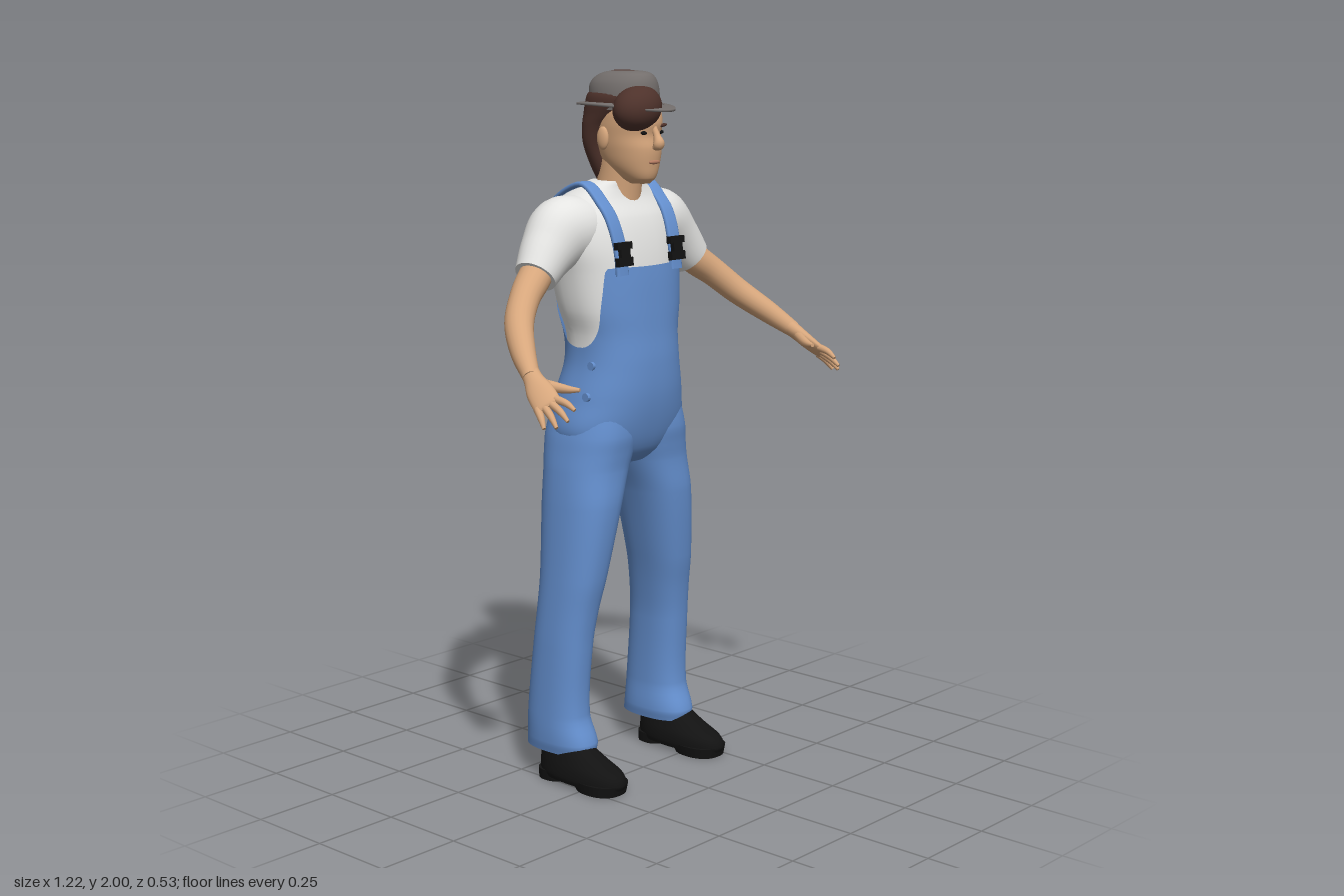
import * as THREE from 'three';

const mat = (name, color, side = THREE.FrontSide) => {
  const m = new THREE.MeshStandardMaterial({ color, side });
  m.name = name;
  return m;
};

// Smooth lookup in rows [key, a, b, ...] with ascending keys
function at(rows, k) {
  const last = rows.length - 1;
  k = Math.min(Math.max(k, rows[0][0]), rows[last][0]);
  let i = 0;
  while (i < last - 1 && k > rows[i + 1][0]) i++;
  const p = rows[i], q = rows[i + 1], h = q[0] - p[0], t = (k - p[0]) / h;
  const slope = (j, c) => {
    const a = rows[Math.max(j - 1, 0)], b = rows[Math.min(j + 1, last)];
    return (b[c] - a[c]) / (b[0] - a[0]);
  };
  return p.map((v, c) => c === 0 ? k
    : (2 * t ** 3 - 3 * t * t + 1) * v + (t ** 3 - 2 * t * t + t) * h * slope(i, c)
    + (3 * t * t - 2 * t ** 3) * q[c] + (t ** 3 - t * t) * h * slope(i + 1, c));
}

// Skin closed rings of points, with optional end caps
function skin(rings, caps = true) {
  const n = rings[0].length, pos = rings.flat(2), idx = [];
  for (let i = 0; i < rings.length - 1; i++) for (let j = 0; j < n; j++) {
    const a = i * n + j, d = i * n + (j + 1) % n;
    idx.push(a, a + n, d + n, a, d + n, d);
  }
  if (caps) [rings[0], rings[rings.length - 1]].forEach((r, top) => {
    const s = pos.length / 3;
    pos.push(...r.flat(), ...[0, 1, 2].map(c => r.reduce((t, p) => t + p[c] / n, 0)));
    for (let j = 0; j < n; j++) {
      const k = (j + 1) % n;
      idx.push(s + n, s + (top ? k : j), s + (top ? j : k));
    }
  });
  const g = new THREE.BufferGeometry();
  g.setAttribute('position', new THREE.Float32BufferAttribute(pos, 3));
  g.setIndex(idx);
  g.computeVertexNormals();
  return g;
}

const pw = (v, p) => Math.sign(v) * Math.abs(v) ** p;
const P = 0.85;

// Point on a horizontal section [y, xMin, xMax, zBack, zFront]
function onSection([y, x0, x1, z0, z1], a, p = P, grow = 0) {
  return [(x0 + x1) / 2 + ((x1 - x0) / 2 + grow) * pw(Math.cos(a), p), y,
    (z0 + z1) / 2 + ((z1 - z0) / 2 + grow) * pw(Math.sin(a), p)];
}
const circle = (n, f) => Array.from({ length: n }, (_, j) => f(j / n * Math.PI * 2));

// Upright shape through horizontal sections
function stack(rows, { n = 40, steps = 5, p = P } = {}) {
  const rings = [];
  for (let i = 0; i < rows.length - 1; i++) for (let s = 0; s < steps; s++)
    rings.push(rows[i][0] + (rows[i + 1][0] - rows[i][0]) * s / steps);
  rings.push(rows[rows.length - 1][0]);
  return skin(rings.map(y => circle(n, a => onSection(at(rows, y), a, p))));
}
const sym = rows => rows.map(([y, h, zb, zf]) => [y, -h, h, zb, zf]);

// Limb through points [x, y, z, radiusAlongRef, otherRadius]
function limb(pts, ref = [0, 0, 1], { n = 20, steps = 6, p = 1 } = {}) {
  const rows = pts.map((q, i) => [i, ...q]), m = (pts.length - 1) * steps, rings = [];
  const centre = k => new THREE.Vector3(...at(rows, k).slice(1, 4));
  for (let i = 0; i <= m; i++) {
    const k = i / steps, c = centre(k), [, , , , ra, rb] = at(rows, k);
    const t = centre(k + 0.05).sub(centre(k - 0.05)).normalize();
    const u = new THREE.Vector3(...ref);
    u.addScaledVector(t, -u.dot(t)).normalize();
    const v = u.clone().cross(t);
    rings.push(circle(n, a => c.clone().addScaledVector(u, ra * pw(Math.cos(a), p))
      .addScaledVector(v, rb * pw(Math.sin(a), p)).toArray()));
  }
  return skin(rings);
}

function mirrored(geo) {
  const g = geo.clone().scale(-1, 1, 1), ix = g.index.array;
  for (let i = 0; i < ix.length; i += 3) [ix[i], ix[i + 1]] = [ix[i + 1], ix[i]];
  g.computeVertexNormals();
  return g;
}
const blob = (x, y, z, rx, ry, rz, tilt = 0) =>
  new THREE.SphereGeometry(1, 28, 18).scale(rx, ry, rz).rotateZ(tilt).translate(x, y, z);
const block = (x, y, z, w, h, d) => new THREE.BoxGeometry(w, h, d).rotateX(-0.12).translate(x, y, z);

// Trunk sections from crotch to collar
const BODY = sym([[0.91, 0.06, -0.17, -0.03], [0.94, 0.15, -0.21, 0], [1.0, 0.203, -0.232, 0.025],
  [1.1, 0.188, -0.235, 0.045], [1.2, 0.165, -0.21, 0.048], [1.28, 0.165, -0.212, 0.042],
  [1.35, 0.183, -0.23, 0.038], [1.45, 0.197, -0.25, 0.03], [1.53, 0.21, -0.253, 0.017],
  [1.6, 0.2, -0.243, -0.005], [1.65, 0.165, -0.222, -0.035], [1.68, 0.118, -0.19, -0.045],
  [1.7, 0.08, -0.16, -0.045]]);

// Height of the overalls' upper edge, by degrees from the front
const EDGE = [[0, 1.47], [40, 1.47], [45, 1.46], [52, 1.39], [62, 1.31], [80, 1.255], [100, 1.25],
  [120, 1.28], [140, 1.35], [155, 1.43], [165, 1.51], [171, 1.55], [180, 1.55]];

function bodyZ(x, y, side) {
  const [, , h, zb, zf] = at(BODY, y);
  return (zb + zf) / 2 + side * ((zf - zb) / 2 + 0.011) * Math.max(0, 1 - (x / h) ** (2 / P)) ** (P / 2);
}

export function createModel() {
  const model = new THREE.Group();
  model.name = 'workman';
  const skinM = mat('skin', 0xd6a67c), shirt = mat('shirt white', 0xe4e4e2, THREE.DoubleSide);
  const denim = mat('denim blue', 0x648fce, THREE.DoubleSide), black = mat('black', 0x121212);
  const felt = mat('hat grey', 0x736e6c, THREE.DoubleSide), hairM = mat('hair brown', 0x4e322b);
  const lip = mat('lip', 0xb57c62);
  const add = (name, geo, m) => {
    const mesh = new THREE.Mesh(geo, m);
    mesh.name = name;
    model.add(mesh);
  };
  const pair = (name, geo, m) => {
    add(name + 'Left', geo, m);
    add(name + 'Right', mirrored(geo), m);
  };

  // Shirt
  add('shirtBody', stack(BODY.filter(r => r[0] > 1.05), { n: 48 }), shirt);
  pair('sleeve', limb([[0.07, 1.56, -0.12, 0.08, 0.08], [0.14, 1.572, -0.122, 0.092, 0.09],
    [0.2, 1.56, -0.125, 0.09, 0.1], [0.26, 1.515, -0.118, 0.074, 0.08],
    [0.318, 1.456, -0.105, 0.058, 0.06]], [0, 0, 1], { n: 28 }), shirt);

  // Overalls: seat, bib and back panel in one shell, then the legs
  const ROWS = 36;
  const shell = Array.from({ length: ROWS + 1 }, (_, i) => circle(120, a => {
    const fromFront = Math.abs(((a * 180 / Math.PI - 90 + 540) % 360) - 180);
    const y = 0.91 + (at(EDGE, fromFront)[1] - 0.91) * i / ROWS;
    return onSection(at(BODY, y), a, P, 0.007);
  }));
  add('overallsBody', skin(shell, false), denim);
  pair('trouserLeg', stack([[0.09, 0.14, 0.27, -0.245, -0.015], [0.12, 0.136, 0.275, -0.24, -0.01],
    [0.2, 0.143, 0.274, -0.235, -0.038], [0.4, 0.138, 0.268, -0.215, -0.03],
    [0.5, 0.125, 0.262, -0.207, -0.018], [0.6, 0.105, 0.255, -0.205, 0], [0.8, 0.056, 0.24, -0.22, 0.02],
    [0.9, 0.018, 0.229, -0.228, 0.017], [0.95, 0, 0.221, -0.236, 0.022], [1.0, -0.01, 0.212, -0.239, 0.028],
    [1.08, -0.01, 0.19, -0.225, 0.02]]), denim);

  // Straps, buckles and hip buttons
  const strap = [[0.11, 1.45, 1], [0.111, 1.52, 1], [0.115, 1.59, 1], [0.118, 1.64, 1], [0.118, 1.684, 0],
    [0.107, 1.65, -1], [0.085, 1.6, -1], [0.055, 1.55, -1], [0.025, 1.49, -1]]
    .map(([x, y, s]) => [x, s ? y : y + 0.01, s ? bodyZ(x, y, s) : -0.11, 0.023, 0.007]);
  pair('strap', limb(strap, [1, 0, 0], { n: 16, p: 0.5 }), denim);
  const bz = bodyZ(0.108, 1.51, 1) + 0.008;
  pair('buckleTop', block(0.108, 1.532, bz - 0.002, 0.058, 0.02, 0.016), black);
  pair('buckleMiddle', block(0.108, 1.512, bz, 0.036, 0.03, 0.018), black);
  pair('buckleBottom', block(0.108, 1.488, bz + 0.003, 0.056, 0.024, 0.016), black);
  for (const [y, x] of [[1.2, 0.168], [1.115, 0.189]])
    pair('hipButton', new THREE.CylinderGeometry(0.012, 0.012, 0.01, 16).rotateZ(Math.PI / 2)
      .translate(x, y, -0.04), denim);

  // Shoes
  pair('shoe', stack([[0.015, 0.15, 0.275, -0.186, 0.11], [0.03, 0.146, 0.279, -0.19, 0.115],
    [0.055, 0.148, 0.276, -0.19, 0.1], [0.08, 0.156, 0.269, -0.188, 0.045],
    [0.11, 0.165, 0.262, -0.185, -0.01], [0.14, 0.17, 0.258, -0.18, -0.03]], { p: 0.9 }), black);
  pair('sole', stack([[0, 0.152, 0.274, -0.04, 0.105], [0.03, 0.147, 0.278, -0.06, 0.112]]), black);
  pair('heel', stack([[0, 0.16, 0.265, -0.188, -0.09], [0.03, 0.157, 0.268, -0.189, -0.08]]), black);

  // Arms and hands
  pair('arm', limb([[0.27, 1.5, -0.115, 0.045, 0.045], [0.33, 1.45, -0.1, 0.047, 0.045],
    [0.39, 1.405, -0.075, 0.042, 0.041], [0.45, 1.348, -0.035, 0.04, 0.038],
    [0.505, 1.288, 0.035, 0.034, 0.032], [0.545, 1.235, 0.105, 0.023, 0.023]]), skinM);
  const across = [0.06, -0.045, -0.055];
  pair('palm', limb([[0.535, 1.248, 0.088, 0.024, 0.023], [0.546, 1.228, 0.115, 0.027, 0.021],
    [0.556, 1.205, 0.145, 0.036, 0.018], [0.568, 1.178, 0.184, 0.037, 0.013],
    [0.571, 1.171, 0.194, 0.03, 0.007]], across), skinM);
  const tips = [[0.543, 1.168, 0.258], [0.566, 1.142, 0.256], [0.589, 1.126, 0.238], [0.603, 1.122, 0.207]];
  tips.forEach((tip, i) => {
    const base = [0.568, 1.178, 0.182].map((c, k) => c + across[k] * (i - 1.5) * 0.19);
    const mid = base.map((c, k) => c + (tip[k] - c) * 0.55 + (k === 1 ? 0.005 : 0));
    pair('finger', limb([[...base, 0.011, 0.011], [...mid, 0.0095, 0.0095], [...tip, 0.005, 0.005]],
      across, { n: 10, steps: 4 }), skinM);
  });
  pair('thumb', limb([[0.54, 1.222, 0.125, 0.015, 0.015], [0.514, 1.212, 0.165, 0.014, 0.013],
    [0.498, 1.208, 0.195, 0.01, 0.01], [0.486, 1.208, 0.221, 0.005, 0.005]], [0, 1, 0], { n: 12 }), skinM);

  // Neck, head and face
  add('neck', limb([[0, 1.62, -0.105, 0.075, 0.07], [0, 1.68, -0.092, 0.064, 0.064],
    [0, 1.77, -0.075, 0.06, 0.06]], [1, 0, 0], { n: 28 }), skinM);
  add('head', stack(sym([[1.694, 0.024, -0.045, 0.018], [1.71, 0.044, -0.08, 0.033],
    [1.745, 0.064, -0.125, 0.041], [1.79, 0.075, -0.155, 0.046], [1.825, 0.079, -0.16, 0.041],
    [1.86, 0.081, -0.165, 0.047], [1.9, 0.078, -0.16, 0.036], [1.93, 0.06, -0.14, 0.01]]), { p: 0.95 }), skinM);
  add('nose', limb([[0, 1.85, 0.038, 0.008, 0.008], [0, 1.825, 0.05, 0.01, 0.01],
    [0, 1.804, 0.057, 0.016, 0.016], [0, 1.791, 0.046, 0.013, 0.008]], [1, 0, 0]), skinM);
  pair('ear', blob(0.082, 1.818, -0.075, 0.011, 0.032, 0.02), skinM);
  pair('eye', blob(0.033, 1.834, 0.033, 0.013, 0.0055, 0.005), black);
  pair('eyebrow', blob(0.035, 1.852, 0.037, 0.021, 0.005, 0.006, 0.1), hairM);
  add('mouth', blob(0, 1.754, 0.041, 0.022, 0.006, 0.006), lip);

  // Hair, with a swept fringe pushing through the hat
  add('hair', stack(sym([[1.7, 0.045, -0.155, -0.085], [1.74, 0.062, -0.17, -0.085],
    [1.8, 0.081, -0.186, -0.085], [1.85, 0.087, -0.191, -0.055], [1.88, 0.089, -0.19, -0.015],
    [1.91, 0.091, -0.187, 0.02], [1.935, 0.087, -0.179, 0.025], [1.955, 0.07, -0.16, 0.015]]), { p: 0.95 }), hairM);
  add('fringe', blob(-0.033, 1.9, 0.008, 0.077, 0.062, 0.06, 0.25), hairM);

  // Hat: curled brim and pinched crown
  const brim = [[0.8, 0.004], [1, 0], [1, -0.006], [0.75, -0.004]].map(([s, dy]) => circle(48, a =>
    [0.107 * s * Math.cos(a), 1.903 + dy + 0.008 * Math.cos(a) ** 2 - 0.006 * Math.sin(a),
      -0.065 + 0.157 * s * Math.sin(a)])).reverse();
  add('hatBrim', skin(brim, false), felt);
  add('hatCrown', stack(sym([[1.895, 0.086, -0.172, 0.032], [1.935, 0.085, -0.176, 0.034],
    [1.965, 0.078, -0.174, 0.031], [1.985, 0.064, -0.155, 0.022], [1.995, 0.048, -0.13, 0.008],
    [1.999, 0.03, -0.105, -0.012]]), { p: 0.95 }), felt);
  add('hatTopPatch', blob(0.002, 1.998, -0.075, 0.024, 0.003, 0.04), hairM);
  return model;
}
